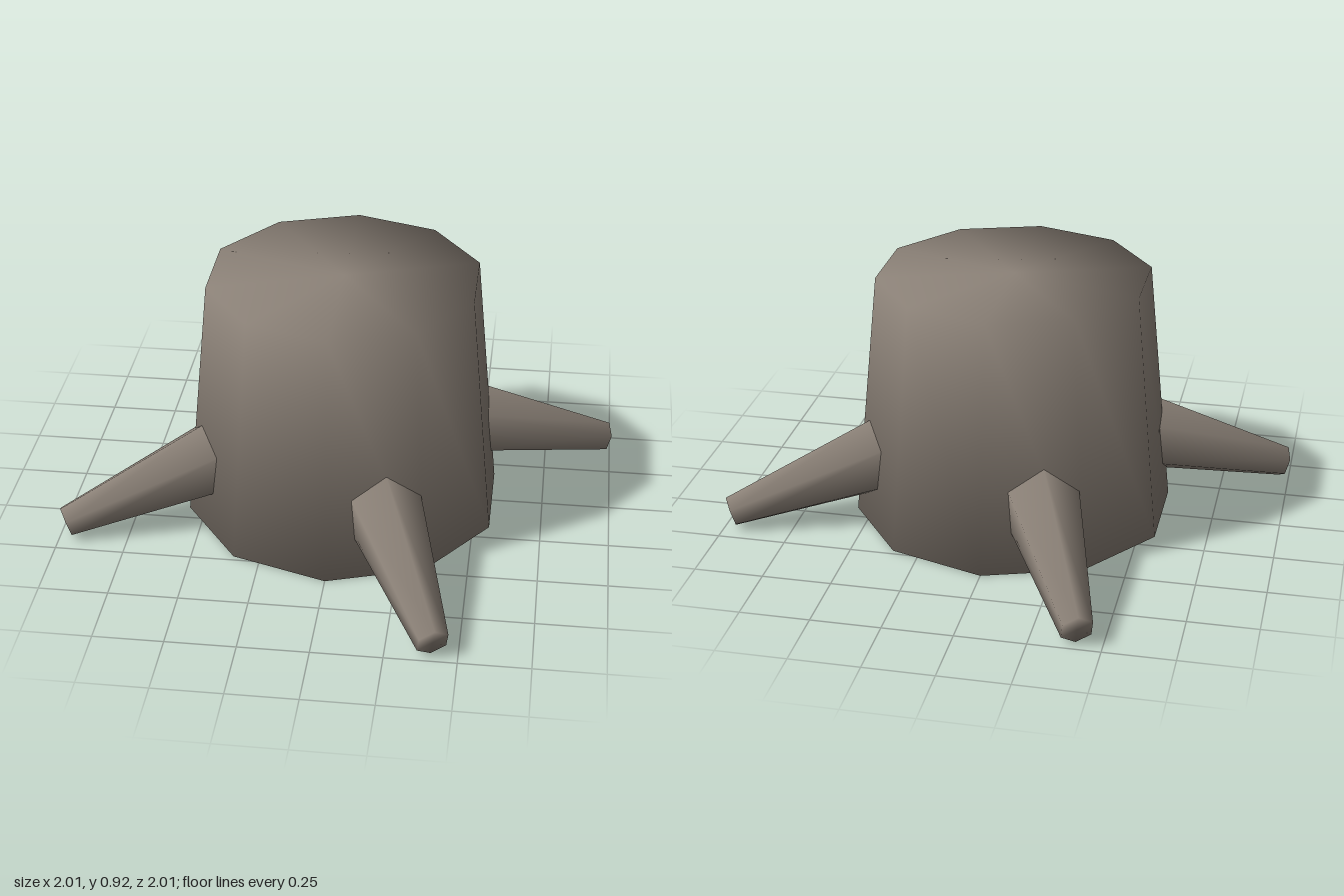
import * as THREE from 'three';

const stone = new THREE.MeshStandardMaterial({ color: 0x8c8278 });
stone.name = 'greyBrown';

// Closed tapered solid with softly shaded rims, standing along +y
function taperedSolid(bottomRadius, topRadius, height, sides, phiStart = 0) {
  const profile = [
    [0, 0], [bottomRadius, 0], [topRadius, height], [0, height],
  ].map(([r, y]) => new THREE.Vector2(r, y));
  return new THREE.LatheGeometry(profile, sides, phiStart);
}

export function createModel() {
  const model = new THREE.Group();
  model.name = 'stump';

  // Ten-sided trunk
  const trunk = new THREE.Mesh(taperedSolid(0.59, 0.5, 0.92, 10), stone);
  trunk.name = 'trunk';
  model.add(trunk);

  // Four six-sided roots sloping down and outwards
  const inner = new THREE.Vector2(0.44, 0.26);
  const tip = new THREE.Vector2(1.06, 0.06);
  const axis = tip.clone().sub(inner);
  const rootGeometry = taperedSolid(0.155, 0.06, axis.length(), 6, Math.PI / 2);
  rootGeometry.rotateZ(axis.angle() - Math.PI / 2);
  rootGeometry.translate(inner.x, inner.y, 0);

  for (let i = 0; i < 4; i++) {
    const root = new THREE.Mesh(rootGeometry, stone);
    root.name = `root${i + 1}`;
    root.rotation.y = THREE.MathUtils.degToRad(23 + 90 * i);
    model.add(root);
  }
  return model;
}
